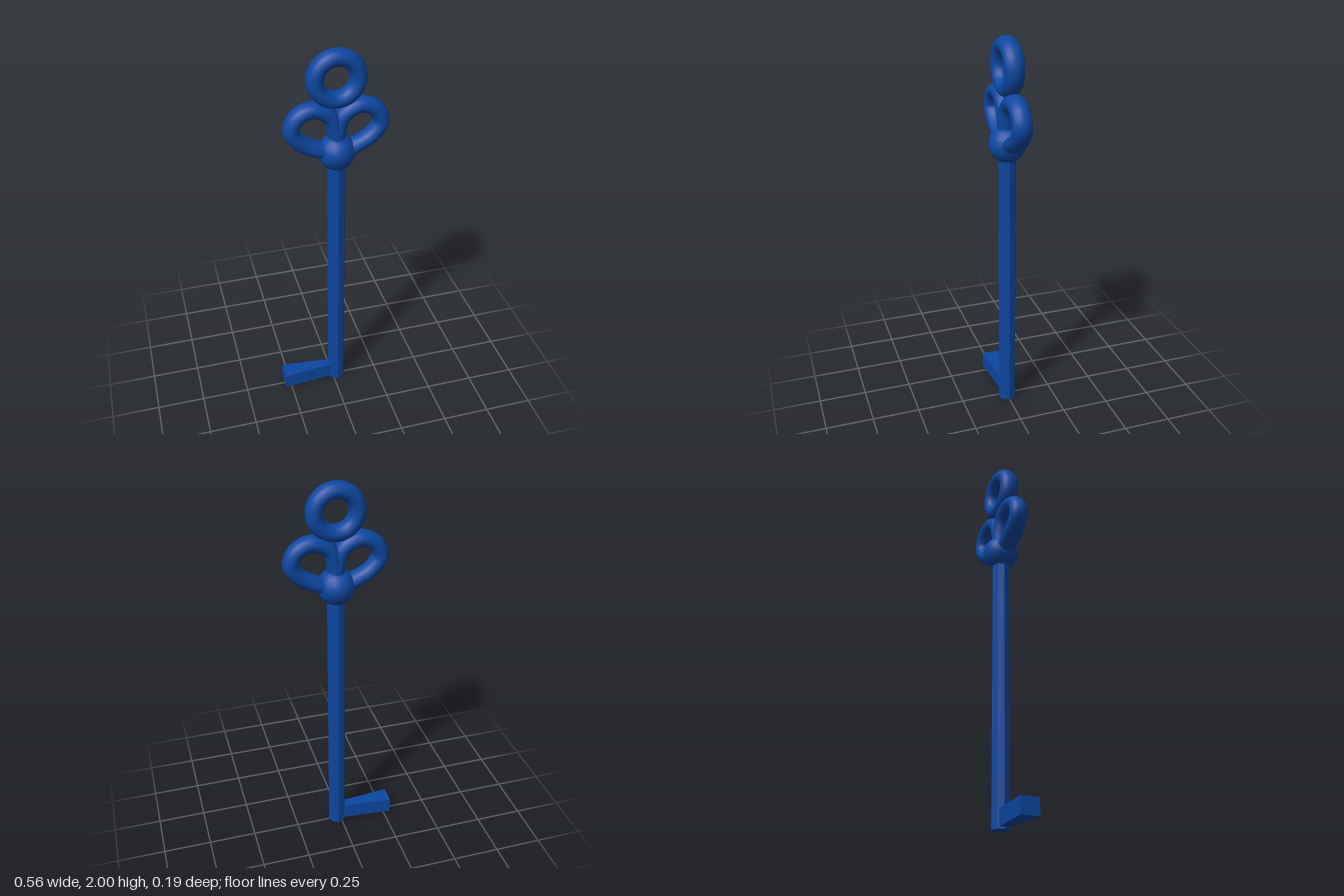
import * as THREE from 'three';

export function createModel() {
  const key = new THREE.Group();
  key.name = 'key';
  const smooth = new THREE.MeshStandardMaterial({ color: 0x0d47a1 });
  const flat = new THREE.MeshStandardMaterial({ color: 0x0d47a1, flatShading: true });
  const axis = 0.02; // x of the shaft's centre line

  function add(name, geometry, material, y = 0) {
    const mesh = new THREE.Mesh(geometry, material);
    mesh.name = name;
    mesh.position.set(axis, y, 0);
    key.add(mesh);
    return mesh;
  }

  // Octagonal shaft
  add('shaft', new THREE.CylinderGeometry(0.046, 0.046, 1.47, 8), flat, 0.735);

  // Bit: a bar that widens towards its free end
  const bitShape = new THREE.Shape([
    new THREE.Vector2(-0.304, -0.048),
    new THREE.Vector2(0, -0.02),
    new THREE.Vector2(0, 0.02),
    new THREE.Vector2(-0.304, 0.048),
  ]);
  const bit = new THREE.ExtrudeGeometry(bitShape, { depth: 0.085, bevelEnabled: false });
  bit.rotateX(-Math.PI / 2);
  add('bit', bit, flat, 0.01);

  // Ball joining the shaft and the bow
  add('collarBall', new THREE.SphereGeometry(0.093, 16, 12), smooth, 1.478);

  // Top ring, slightly deeper than it is thick
  const ring = add('topRing', new THREE.TorusGeometry(0.1035, 0.042, 16, 40), smooth, 1.855);
  ring.scale.z = 1.2;

  // Mirrored teardrop loops, both starting and ending in the ball
  const path = [
    [0, 1.476], [0.006, 1.587], [0.035, 1.672], [0.115, 1.712],
    [0.19, 1.683], [0.219, 1.615], [0.178, 1.55], [0.083, 1.497], [0, 1.472],
  ];
  for (const side of [1, -1]) {
    const curve = new THREE.CatmullRomCurve3(
      path.map(([x, y]) => new THREE.Vector3(side * x, y, 0)));
    const loop = add(side > 0 ? 'leftLoop' : 'rightLoop',
      new THREE.TubeGeometry(curve, 56, 0.041, 16), smooth);
    loop.scale.z = 1.22;
  }
  return key;
}
